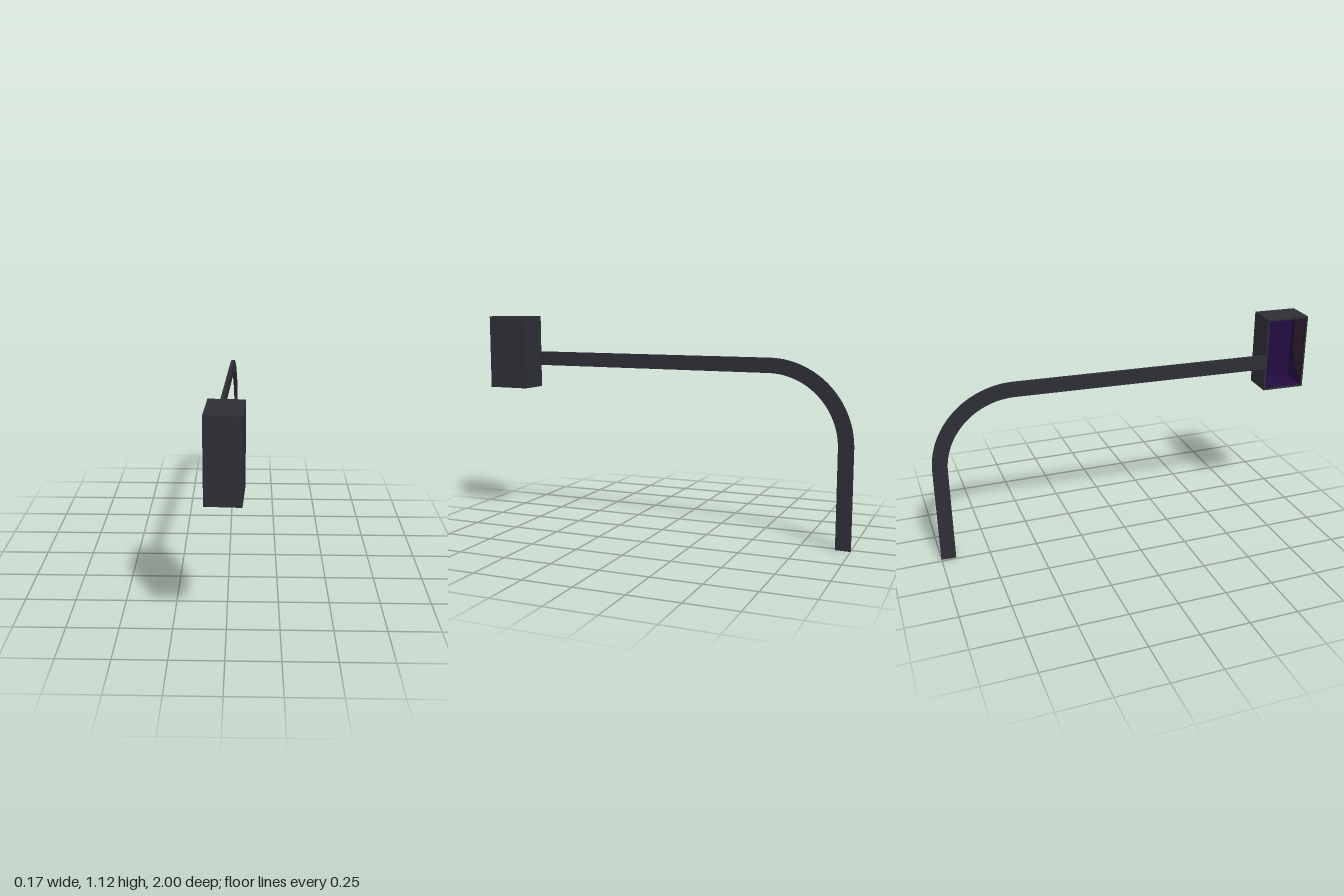
import * as THREE from 'three';

const charcoal = new THREE.MeshStandardMaterial({ color: 0x2e2e36 });
charcoal.name = 'charcoal';
const purple = new THREE.MeshStandardMaterial({ color: 0x240c40, side: THREE.DoubleSide });
purple.name = 'deep purple';
const plum = new THREE.MeshStandardMaterial({ color: 0x32222f, side: THREE.DoubleSide });
plum.name = 'dark plum';

// Housing size, centre and wall thickness
const W = 0.161, H = 0.39, D = 0.227, T = 0.009;
const CENTRE = [0.0426, 0.93, 0.881];

function add(group, name, geometry, material, x = 0, y = 0, z = 0) {
  const mesh = new THREE.Mesh(geometry, material);
  mesh.name = name;
  mesh.position.set(x, y, z);
  group.add(mesh);
  return mesh;
}

// Flat bar: upright post, quarter bend, long level arm (profile drawn as x = -z)
function armGeometry() {
  const width = 0.016;
  const s = new THREE.Shape();
  s.moveTo(1, 0);
  s.lineTo(1, 0.5);
  s.absarc(0.57, 0.5, 0.43, 0, Math.PI / 2, false);
  s.lineTo(-0.772, 0.93);
  s.lineTo(-0.772, 0.855);
  s.lineTo(0.57, 0.855);
  s.absarc(0.57, 0.5, 0.355, Math.PI / 2, 0, true);
  s.lineTo(0.925, 0);
  s.closePath();
  const g = new THREE.ExtrudeGeometry(s, { depth: width, bevelEnabled: false, curveSegments: 20 });
  g.translate(0, 0, -width / 2);
  g.rotateY(Math.PI / 2);
  return g;
}

// Box housing, open on its right side
function housing() {
  const group = new THREE.Group();
  group.name = 'housing';
  group.position.set(...CENTRE);
  for (const s of [-1, 1]) {
    add(group, s > 0 ? 'frontWall' : 'backWall', new THREE.BoxGeometry(W, H, T), charcoal, 0, 0, s * (D - T) / 2);
    add(group, s > 0 ? 'topWall' : 'bottomWall', new THREE.BoxGeometry(W, T, D - 2 * T), charcoal, 0, s * (H - T) / 2, 0);
  }
  add(group, 'sideWall', new THREE.BoxGeometry(T, H - 2 * T, D - 2 * T), charcoal, (W - T) / 2, 0, 0);

  // Inner lining: a box without its right face
  const lining = new THREE.BoxGeometry(W - T - 0.004, H - 2 * T - 0.002, D - 2 * T - 0.002);
  const index = Array.from(lining.index.array);
  index.splice(6, 6);
  lining.setIndex(index);
  lining.clearGroups();
  add(group, 'innerLining', lining, purple, -T / 2, 0, 0);

  // Curved panel on the inside of the front wall
  const p = new THREE.Shape();
  const left = -W / 2 + 0.004, right = W / 2 - 0.052, top = H / 2 - T - 0.003, low = -H / 2 + 0.045;
  p.moveTo(left, top);
  p.lineTo(right, top);
  p.lineTo(right, 0.02);
  p.bezierCurveTo(right, -0.07, right - 0.04, low + 0.03, left, low);
  p.closePath();
  add(group, 'innerPanel', new THREE.ShapeGeometry(p, 12), plum, 0, 0, D / 2 - T - 0.004);
  return group;
}

export function createModel() {
  const model = new THREE.Group();
  model.name = 'cantileverSign';
  const body = new THREE.Group();
  body.name = 'body';
  body.rotation.y = -0.05;
  add(body, 'arm', armGeometry(), charcoal, -0.029, 0, 0);
  body.add(housing());
  model.add(body);
  return model;
}
